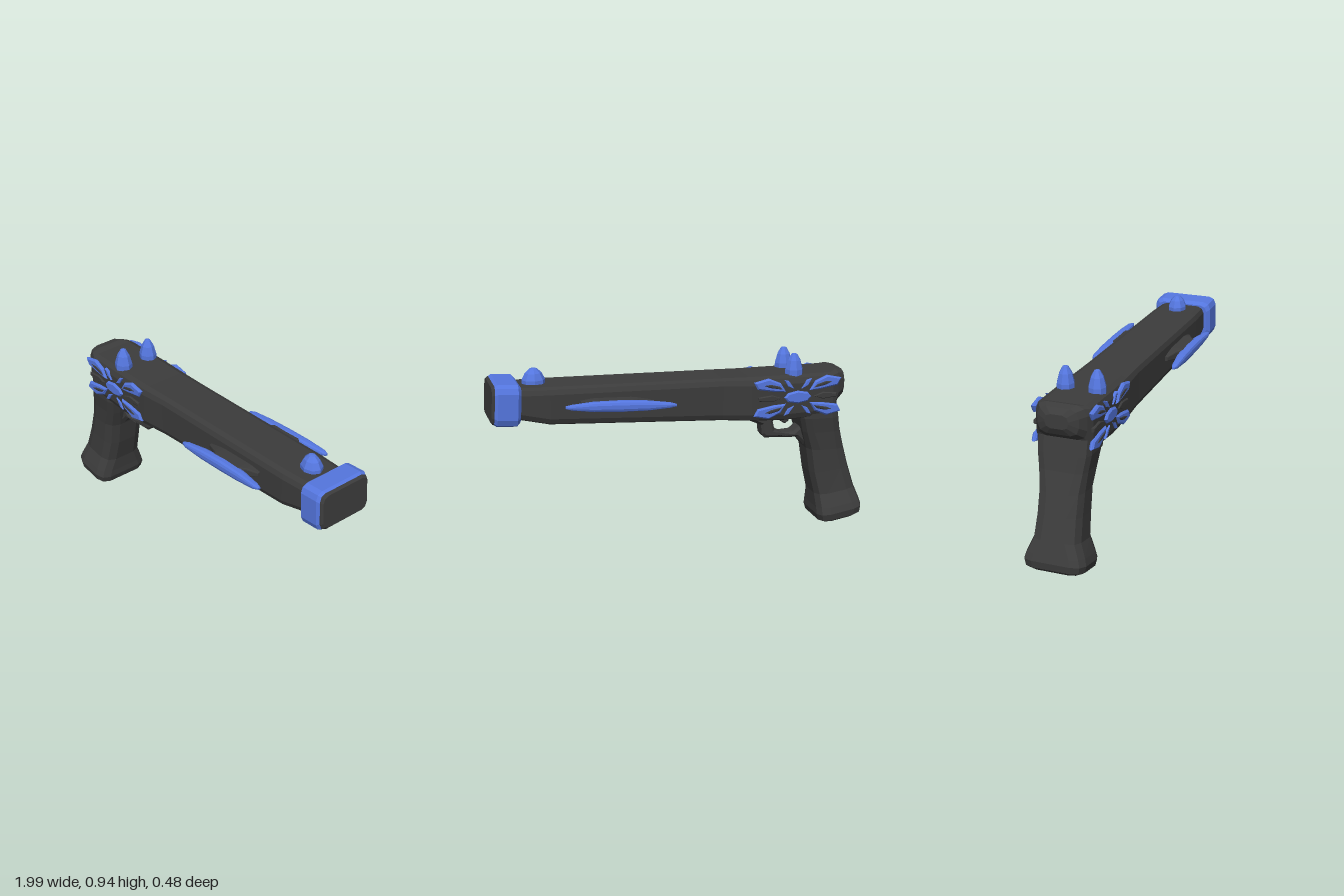
import * as THREE from 'three';

const dark = new THREE.MeshStandardMaterial({ color: 0x3c3c3c, flatShading: true });
const blue = new THREE.MeshStandardMaterial({ color: 0x5577e0, flatShading: true });

// Rounded rectangle ring, counter-clockwise in (a, b)
function ring(a0, a1, b0, b1, r) {
  const pts = [];
  const corners = [[a1 - r, b1 - r], [a0 + r, b1 - r], [a0 + r, b0 + r], [a1 - r, b0 + r]];
  corners.forEach(([a, b], k) => {
    for (let i = 0; i < 3; i++) {
      const t = (k + i / 2) * Math.PI / 2;
      pts.push([a + r * Math.cos(t), b + r * Math.sin(t)]);
    }
  });
  return pts;
}

// Skin a list of rings of [x, y, z] points and close both ends
function skin(rings) {
  const n = rings[0].length, pos = [];
  const tri = (...p) => p.forEach(q => pos.push(...q));
  const mid = r => [0, 1, 2].map(k => r.reduce((s, p) => s + p[k], 0) / n);
  const first = rings[0], last = rings[rings.length - 1];
  for (let j = 0; j < n; j++) {
    const k = (j + 1) % n;
    for (let i = 0; i + 1 < rings.length; i++) {
      const A = rings[i], B = rings[i + 1];
      tri(A[j], A[k], B[k]);
      tri(A[j], B[k], B[j]);
    }
    tri(mid(first), first[k], first[j]);
    tri(mid(last), last[j], last[k]);
  }
  const g = new THREE.BufferGeometry();
  g.setAttribute('position', new THREE.Float32BufferAttribute(pos, 3));
  g.computeVertexNormals();
  return g;
}

// Sections along x: [x, yBottom, yTop, z0, z1, corner radius]
const loftX = sections => skin(sections.map(([x, ...s]) => ring(...s).map(([y, z]) => [x, y, z])));

// Flat plate in the xy plane, centred on z = 0
function plate(points, depth, bevel, hole) {
  const toV = p => new THREE.Vector2(...p);
  const shape = new THREE.Shape(points.map(toV));
  if (hole) shape.holes.push(new THREE.Path(hole.map(toV)));
  const g = new THREE.ExtrudeGeometry(shape, {
    depth: depth - 2 * bevel, bevelEnabled: bevel > 0, bevelSize: bevel,
    bevelThickness: bevel, bevelOffset: -bevel, bevelSegments: 1, steps: 1,
  });
  return g.translate(0, 0, -depth / 2 + bevel);
}

export function createModel() {
  const model = new THREE.Group();
  const add = (name, geometry, material, parent = model) => {
    const m = new THREE.Mesh(geometry, material);
    m.name = name;
    parent.add(m);
    return m;
  };

  // Barrel and frame in one tapering body, with a rounded lump at the rear
  add('body', loftX([
    [-0.895, 0.745, 0.815, -0.06, 0.06, 0.03],
    [-0.875, 0.71, 0.845, -0.105, 0.105, 0.045],
    [-0.835, 0.68, 0.852, -0.13, 0.13, 0.05],
    [-0.8, 0.61, 0.842, -0.145, 0.145, 0.04],
    [-0.54, 0.6, 0.842, -0.148, 0.148, 0.04],
    [-0.35, 0.608, 0.842, -0.145, 0.145, 0.04],
    [-0.2, 0.622, 0.845, -0.138, 0.138, 0.035],
    [0.7, 0.665, 0.858, -0.135, 0.135, 0.035],
    [0.84, 0.695, 0.86, -0.128, 0.128, 0.035],
    [0.9, 0.7, 0.86, -0.125, 0.125, 0.035],
  ]), dark);

  // Muzzle collar with a dark end face, tipped slightly upward
  const muzzle = new THREE.Group();
  muzzle.name = 'muzzle';
  muzzle.position.set(0.918, 0.781, 0);
  muzzle.rotation.z = 0.06;
  model.add(muzzle);
  add('muzzleCollar', loftX([
    [-0.072, -0.09, 0.09, -0.145, 0.145, 0.035],
    [-0.055, -0.106, 0.106, -0.163, 0.163, 0.04],
    [0.045, -0.106, 0.106, -0.163, 0.163, 0.04],
    [0.06, -0.098, 0.098, -0.154, 0.154, 0.04],
  ]), blue, muzzle);
  add('muzzleFace', loftX([
    [0.03, -0.098, 0.098, -0.153, 0.153, 0.038],
    [0.064, -0.098, 0.098, -0.153, 0.153, 0.038],
    [0.074, -0.088, 0.088, -0.143, 0.143, 0.034],
  ]), dark, muzzle);

  // Grip sections from the butt upward: [y, xBack, xFront, half width, radius, slope]
  add('grip', skin([
    [0.026, -0.975, -0.775, 0.13, 0.05, -0.17],
    [0.04, -0.992, -0.755, 0.152, 0.055, -0.17],
    [0.075, -0.997, -0.745, 0.16, 0.06, -0.17],
    [0.11, -0.987, -0.745, 0.15, 0.06, -0.17],
    [0.18, -0.965, -0.74, 0.122, 0.06, -0.15],
    [0.3, -0.93, -0.71, 0.116, 0.06, -0.1],
    [0.42, -0.9, -0.69, 0.117, 0.06, 0],
    [0.52, -0.87, -0.66, 0.126, 0.05, 0],
    [0.6, -0.855, -0.64, 0.138, 0.05, 0],
    [0.68, -0.84, -0.64, 0.14, 0.05, 0],
  ].map(([y, x0, x1, w, r, slope]) =>
    ring(-w, w, x0, x1, r).map(([z, x]) => [x, y + slope * (x - (x0 + x1) / 2), z]))), dark);

  // Trigger guard with its opening, and the trigger
  add('triggerGuard', plate(
    [[-0.72, 0.42], [-0.68, 0.435], [-0.64, 0.48], [-0.46, 0.49], [-0.445, 0.51],
      [-0.44, 0.56], [-0.34, 0.605], [-0.34, 0.64], [-0.72, 0.64]], 0.1, 0.014,
    [[-0.655, 0.54], [-0.665, 0.575], [-0.63, 0.605], [-0.53, 0.605], [-0.505, 0.575],
      [-0.515, 0.53], [-0.56, 0.508], [-0.62, 0.512]]), dark);
  add('trigger', plate([[-0.62, 0.62], [-0.6, 0.565], [-0.58, 0.553], [-0.56, 0.565],
    [-0.55, 0.62]], 0.04, 0.006), dark);

  // Faceted spikes: a pair over the frame and a sight near the muzzle
  const spike = (name, x, z, y, h, sx, sz) => {
    const profile = [[1, -0.3], [1, 0.3], [0.72, 0.7], [0.32, 0.97], [0, 1]];
    const m = add(name, new THREE.LatheGeometry(profile.map(p => new THREE.Vector2(...p)), 8), blue);
    m.position.set(x, y, z);
    m.scale.set(sx, h, sz);
  };
  spike('frontSight', 0.76, 0, 0.852, 0.085, 0.06, 0.05);

  // Petal outlines, offset from the flower's centre and mirrored per quadrant
  const petal = [[0.065, 0.032], [0.13, 0.036], [0.22, 0.052], [0.24, 0.09], [0.16, 0.108], [0.095, 0.08]];
  const groove = [[0.085, 0.046], [0.15, 0.058], [0.19, 0.074], [0.15, 0.078], [0.105, 0.066]];
  const blade = [[0.02, 0.045], [0.055, 0.06], [0.075, 0.095], [0.05, 0.088]];
  const sideLeaf = [[0.09, 0], [0.14, 0.018], [0.215, 0.01], [0.215, -0.01], [0.14, -0.018]];
  const oval = Array.from({ length: 8 }, (_, i) =>
    [0.075 * Math.cos(i * Math.PI / 4), 0.034 * Math.sin(i * Math.PI / 4)]);
  const flip = (pts, sx, sy) => {
    const out = pts.map(([x, y]) => [x * sx, y * sy]);
    return sx * sy < 0 ? out.reverse() : out;
  };

  for (const s of [1, -1]) {
    const side = s > 0 ? 'Left' : 'Right';
    spike('topSpike' + side, -0.6, 0.082 * s, 0.83, 0.12, 0.048, 0.045);

    // Flower ornament on the frame
    const flower = new THREE.Group();
    flower.name = 'flower' + side;
    flower.position.set(-0.6, 0.73, 0.147 * s);
    model.add(flower);
    add('flowerCentre', plate(oval, 0.026, 0.008), blue, flower);
    for (const sx of [1, -1]) {
      add('sideLeaf', plate(flip(sideLeaf, sx, 1), 0.018, 0.004), dark, flower);
      for (const sy of [1, -1]) {
        add('petal', plate(flip(petal, sx, sy), 0.024, 0.008), blue, flower);
        add('petalRidge', plate(flip(groove, sx, sy), 0.032, 0.005), dark, flower);
        add('blade', plate(flip(blade, sx, sy), 0.018, 0.003), blue, flower);
      }
    }

    // Side rail on a flared stem: [x, y centre, half height, inner z, outer z, radius]
    const rail = rows => loftX(rows.map(([x, y, h, zi, zo, r]) =>
      [x, y - h, y + h, Math.min(zi * s, zo * s), Math.max(zi * s, zo * s), r]));
    add('railStem' + side, rail([
      [0.19, 0.758, 0.012, 0.12, 0.15, 0.005],
      [0.26, 0.761, 0.024, 0.12, 0.18, 0.008],
      [0.29, 0.763, 0.026, 0.12, 0.205, 0.008],
      [0.46, 0.768, 0.026, 0.12, 0.205, 0.008],
      [0.49, 0.77, 0.024, 0.12, 0.18, 0.008],
      [0.55, 0.774, 0.012, 0.12, 0.15, 0.005],
    ]), dark);
    add('rail' + side, rail([
      [0.075, 0.753, 0.006, 0.215, 0.23, 0.003],
      [0.105, 0.755, 0.013, 0.205, 0.239, 0.01],
      [0.22, 0.759, 0.024, 0.19, 0.24, 0.015],
      [0.36, 0.765, 0.028, 0.185, 0.24, 0.018],
      [0.5, 0.771, 0.024, 0.19, 0.24, 0.015],
      [0.61, 0.776, 0.013, 0.205, 0.239, 0.01],
      [0.64, 0.778, 0.006, 0.215, 0.23, 0.003],
    ]), blue);
  }
  return model;
}
